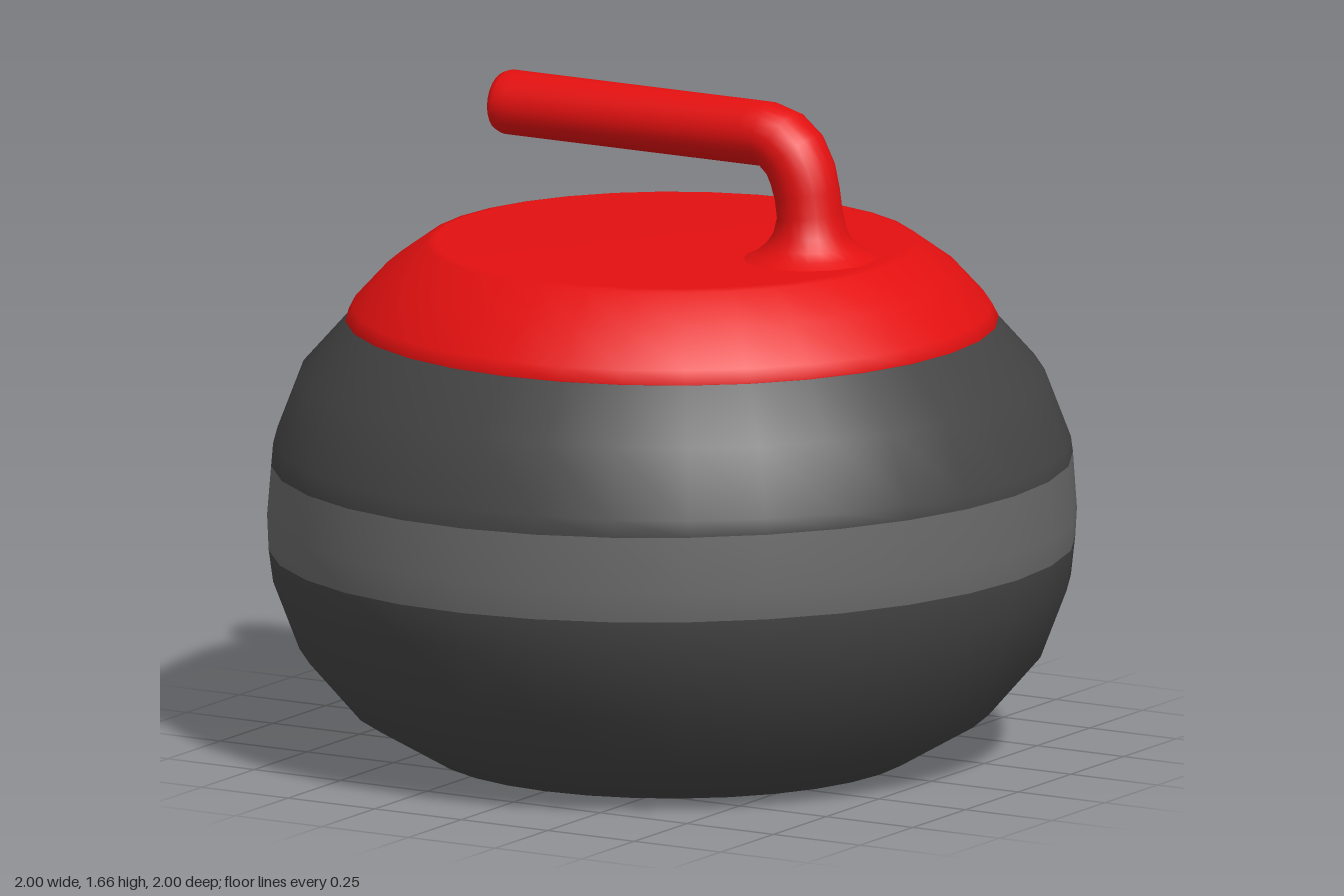
import * as THREE from 'three';

const SIDES = 32;
const red = new THREE.MeshStandardMaterial({ name: 'red plastic', color: 0xe31010 });
const granite = new THREE.MeshStandardMaterial({ name: 'dark granite', color: 0x444444 });
const lightGranite = new THREE.MeshStandardMaterial({ name: 'light granite', color: 0x686868 });

const lathe = (profile) =>
  new THREE.LatheGeometry(profile.map(([r, y]) => new THREE.Vector2(r, y)), SIDES);

function mesh(name, geometry, material) {
  const m = new THREE.Mesh(geometry, material);
  m.name = name;
  return m;
}

// Keep only profile rows from..to of a lathe, with its smooth normals
function latheRows(source, rowCount, from, to) {
  const kept = [];
  const index = source.index.array;
  for (let i = 0; i < index.length; i += 6) {
    const row = index[i] % rowCount;
    if (row >= from && row < to) kept.push(...index.slice(i, i + 6));
  }
  const part = source.clone();
  part.setIndex(kept);
  return part;
}

// Loft round rings [x, y, direction angle, radius] along a path in the xy plane
function loft(rings, sides) {
  const position = [];
  const index = [];
  rings.forEach(([x, y, angle, r], i) => {
    for (let k = 0; k < sides; k++) {
      const t = (k / sides) * Math.PI * 2;
      const n = Math.cos(t) * r;
      position.push(x - Math.sin(angle) * n, y + Math.cos(angle) * n, Math.sin(t) * r * 1.07);
      if (i === rings.length - 1) continue;
      const a = i * sides + k;
      const b = i * sides + ((k + 1) % sides);
      index.push(a, b, a + sides, b, b + sides, a + sides);
    }
  });
  const g = new THREE.BufferGeometry();
  g.setAttribute('position', new THREE.Float32BufferAttribute(position, 3));
  g.setIndex(index);
  g.computeVertexNormals();
  return g;
}

export function createModel() {
  const model = new THREE.Group();
  model.name = 'curlingStone';

  // Stone body: rows 5 to 7 form the lighter running band
  const bodyProfile = [
    [0, 0], [0.6, 0], [0.79, 0.11], [0.92, 0.26], [0.985, 0.43],
    [0.996, 0.52], [1, 0.6], [0.99, 0.732],
    [0.985, 0.78], [0.92, 0.95], [0.8, 1.085],
  ];
  const rows = bodyProfile.length;
  const body = lathe(bodyProfile);

  // The band's edges lean slightly towards one side
  const p = body.attributes.position;
  for (let i = 0; i < p.count; i++) {
    const row = i % rows;
    if (row === 5 || row === 7) p.setY(i, p.getY(i) + 0.0125 * p.getX(i));
  }
  model.add(mesh('lowerStone', latheRows(body, rows, 0, 5), granite));
  model.add(mesh('strikingBand', latheRows(body, rows, 5, 7), lightGranite));
  model.add(mesh('upperStone', latheRows(body, rows, 7, rows - 1), granite));

  // Coloured cap with a flat top
  model.add(mesh('cap', lathe([
    [0.795, 1.08], [0.807, 1.085], [0.79, 1.118], [0.71, 1.205],
    [0.61, 1.277], [0.585, 1.282], [0, 1.282],
  ]), red));

  // Handle: blunt end, straight grip, bend, post and flared foot
  const down = -Math.PI / 2;
  model.add(mesh('handle', loft([
    [-0.492, 1.58, 0, 0], [-0.492, 1.58, 0, 0.06], [-0.487, 1.58, 0, 0.073],
    [-0.47, 1.58, 0, 0.08], [-0.44, 1.58, 0, 0.08], [0.24, 1.58, 0, 0.08],
    [0.28, 1.58, -0.08, 0.08], [0.32, 1.565, -0.45, 0.083],
    [0.355, 1.535, -0.85, 0.083], [0.378, 1.49, -1.2, 0.082],
    [0.391, 1.44, -1.36, 0.08], [0.398, 1.39, -1.45, 0.08],
    [0.4, 1.345, down, 0.09], [0.4, 1.315, down, 0.11],
    [0.4, 1.295, down, 0.135], [0.4, 1.28, down, 0.165],
  ], 24), red));

  return model;
}
